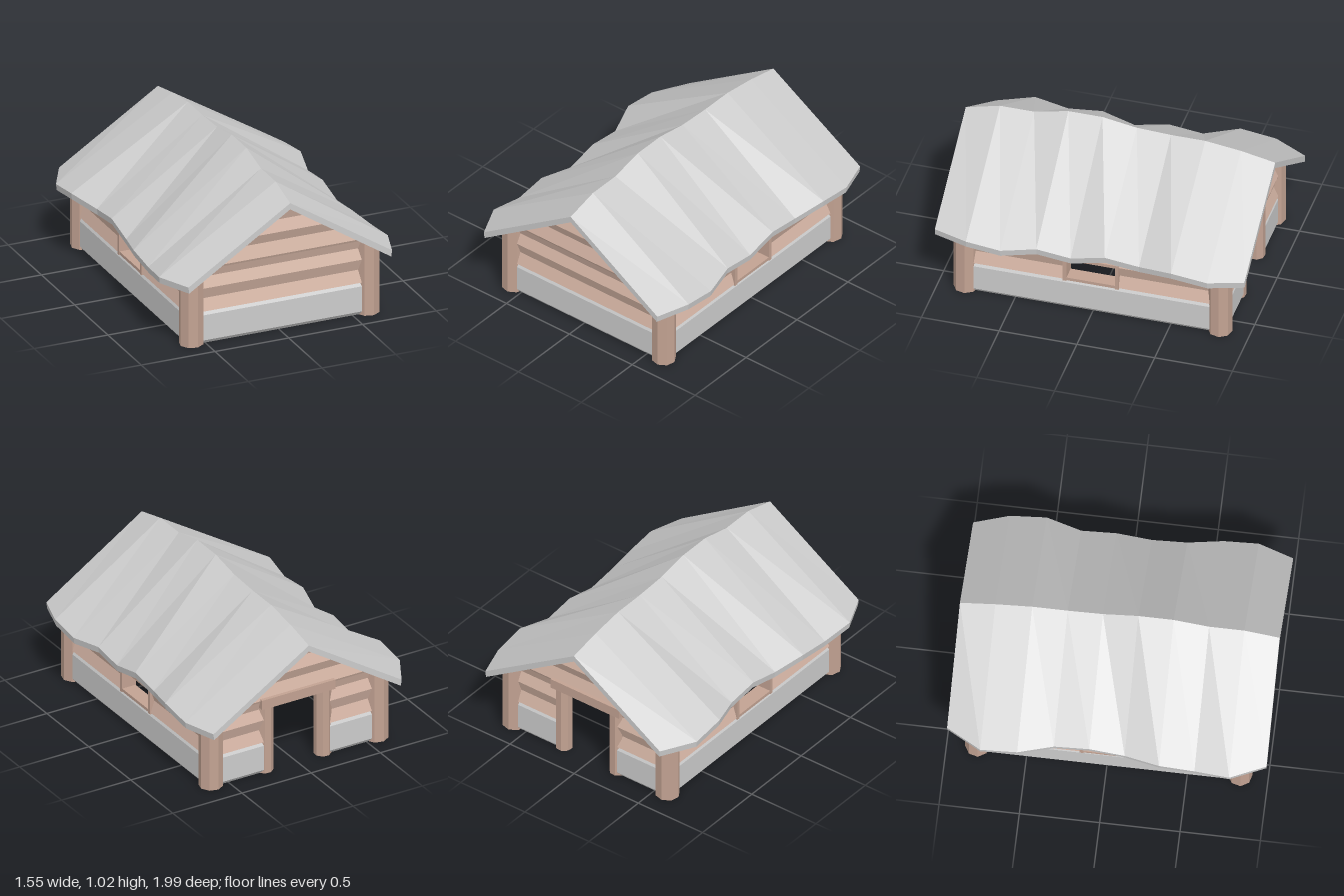
import * as THREE from 'three';

const paint = (color) => new THREE.MeshStandardMaterial({ color, flatShading: true });
const stone = paint(0xcccccc);
const logs = paint(0xd4b4a4);
const wood = paint(0xc2a292);

// Wall sections as [height, half thickness]
const STONE = [[0, 0.025], [0.025, 0.045], [0.195, 0.045], [0.22, 0.032]];
const LOGS = [[0.22, 0.045], [0.3, 0.02], [0.375, 0.045], [0.445, 0.02], [0.5, 0.038], [0.515, 0.045],
  [0.6, 0.02], [0.665, 0.045], [0.74, 0.02], [0.82, 0.045], [0.87, 0.025], [0.9, 0.02]];

// Post centres
const X = [-0.583, 0.61], Z = [-0.81, 0.825];
const MID_X = (X[0] + X[1]) / 2, MID_Z = (Z[0] + Z[1]) / 2;
const HALF_X = (X[1] - X[0]) / 2, HALF_Z = (Z[1] - Z[0]) / 2;

// Closed solid through rings of points (counterclockwise seen from the last ring)
function loft(rings) {
  const n = rings[0].length, last = (rings.length - 1) * n, index = [];
  for (let i = 0; i < last; i += n) {
    for (let j = 0; j < n; j++) {
      const k = (j + 1) % n;
      index.push(i + j, i + k, i + n + k, i + j, i + n + k, i + n + j);
    }
  }
  for (let j = 1; j < n - 1; j++) {
    index.push(0, j + 1, j, last, last + j, last + j + 1);
  }
  const g = new THREE.BufferGeometry();
  g.setAttribute('position', new THREE.Float32BufferAttribute(rings.flat(2), 3));
  g.setIndex(index);
  const flat = g.toNonIndexed();
  flat.computeVertexNormals();
  return flat;
}

function add(parent, name, geometry, material, x = 0, y = 0, z = 0) {
  const m = new THREE.Mesh(geometry, material);
  m.name = name;
  m.position.set(x, y, z);
  parent.add(m);
  return m;
}

// Part of a wall section between two heights
function clip(levels, y0, y1) {
  const at = (y) => {
    for (let i = 1; i < levels.length; i++) {
      const [a, ta] = levels[i - 1], [b, tb] = levels[i];
      if (y >= a && y <= b) return [[y, ta + (tb - ta) * (y - a) / (b - a)]];
    }
    return [];
  };
  return [...at(y0), ...levels.filter(([y]) => y > y0 && y < y1), ...at(y1)];
}

// Wall along x made of [x0, x1, y0, y1] pieces, narrowing to a gable above 0.5
function wall(name, half, pieces) {
  const group = new THREE.Group();
  group.name = name;
  const limit = (y) => (y <= 0.5 ? half : Math.max(0.004, (0.9 - y) / 0.73));
  for (const [x0, x1, y0, y1] of pieces) {
    for (const [part, levels, material] of [['stoneBase', STONE, stone], ['logs', LOGS, logs]]) {
      const low = Math.max(y0, levels[0][0]), high = Math.min(y1, levels.at(-1)[0]);
      if (high - low < 0.001) continue;
      const rings = clip(levels, low, high).map(([y, t]) => {
        const a = Math.max(x0, -limit(y)), b = Math.min(x1, limit(y));
        return [[a, y, t], [b, y, t], [b, y, -t], [a, y, -t]];
      });
      add(group, part, loft(rings), material);
    }
  }
  return group;
}

function roofGeometry() {
  // Stations from back to front: z, right eave x, left eave x, eave y, ridge y
  const stations = [
    [-0.99, -0.66, 0.70, 0.465, 0.895], [-0.77, -0.78, 0.77, 0.465, 0.94],
    [-0.54, -0.78, 0.775, 0.495, 0.97], [-0.32, -0.705, 0.725, 0.465, 0.97],
    [-0.10, -0.705, 0.725, 0.49, 0.98], [0.12, -0.705, 0.725, 0.44, 1.017],
    [0.34, -0.755, 0.725, 0.465, 1.017], [0.56, -0.755, 0.77, 0.44, 0.967],
    [0.78, -0.78, 0.77, 0.465, 0.967], [1.0, -0.68, 0.70, 0.465, 0.91]];
  const d = 0.042, ridge = 0.01;
  return loft(stations.map(([z, a, b, e, r]) => [
    [ridge, r - d, z], [b - 0.005, e - d, z], [b, e, z], [ridge, r, z], [a, e, z], [a + 0.005, e - d, z]]));
}

export function createModel() {
  const model = new THREE.Group();
  model.name = 'cabin';

  add(model, 'roof', roofGeometry(), stone);

  // Corner posts
  for (const x of X) {
    for (const z of Z) {
      const post = add(model, 'cornerPost', new THREE.CylinderGeometry(0.077, 0.077, 0.49, 8), wood, x, 0.245, z);
      post.rotation.y = 0.14;
    }
  }

  // Front gable wall
  const front = wall('frontWall', HALF_X, [[-1, 1, 0, 0.9]]);
  front.position.set(MID_X, 0, Z[1]);
  model.add(front);

  // Back gable wall with doorway
  const door = 0.21, doorTop = 0.47;
  const back = wall('backWall', HALF_X,
    [[-1, -door, 0, doorTop], [door, 1, 0, doorTop], [-1, 1, doorTop, 0.9]]);
  back.position.set(MID_X, 0, Z[0]);
  for (const s of [-1, 1]) {
    const post = add(back, 'doorPost', new THREE.CylinderGeometry(0.056, 0.056, 0.47, 8), wood, s * door, 0.235, 0);
    post.rotation.y = 0.3;
  }
  add(back, 'doorLintel', new THREE.BoxGeometry(0.53, 0.065, 0.13), wood, 0, 0.495, 0);
  model.add(back);

  // Side walls with framed windows
  const w0 = -0.17, w1 = 0.165, sill = 0.225, head = 0.378;
  X.forEach((x, i) => {
    const side = wall(i ? 'leftWall' : 'rightWall', HALF_Z,
      [[-1, w0, 0, 0.5], [w1, 1, 0, 0.5], [w0, w1, 0, sill], [w0, w1, head, 0.5]]);
    const mid = (w0 + w1) / 2;
    for (const wx of [w0, w1]) {
      add(side, 'windowJamb', new THREE.BoxGeometry(0.024, 0.18, 0.1), wood, wx, 0.3, 0);
    }
    for (const wy of [sill, head]) {
      add(side, 'windowRail', new THREE.BoxGeometry(w1 - w0, 0.02, 0.096), wood, mid, wy, 0);
    }
    side.rotation.y = Math.PI / 2;
    side.position.set(x, 0, MID_Z);
    model.add(side);
  });

  return model;
}
